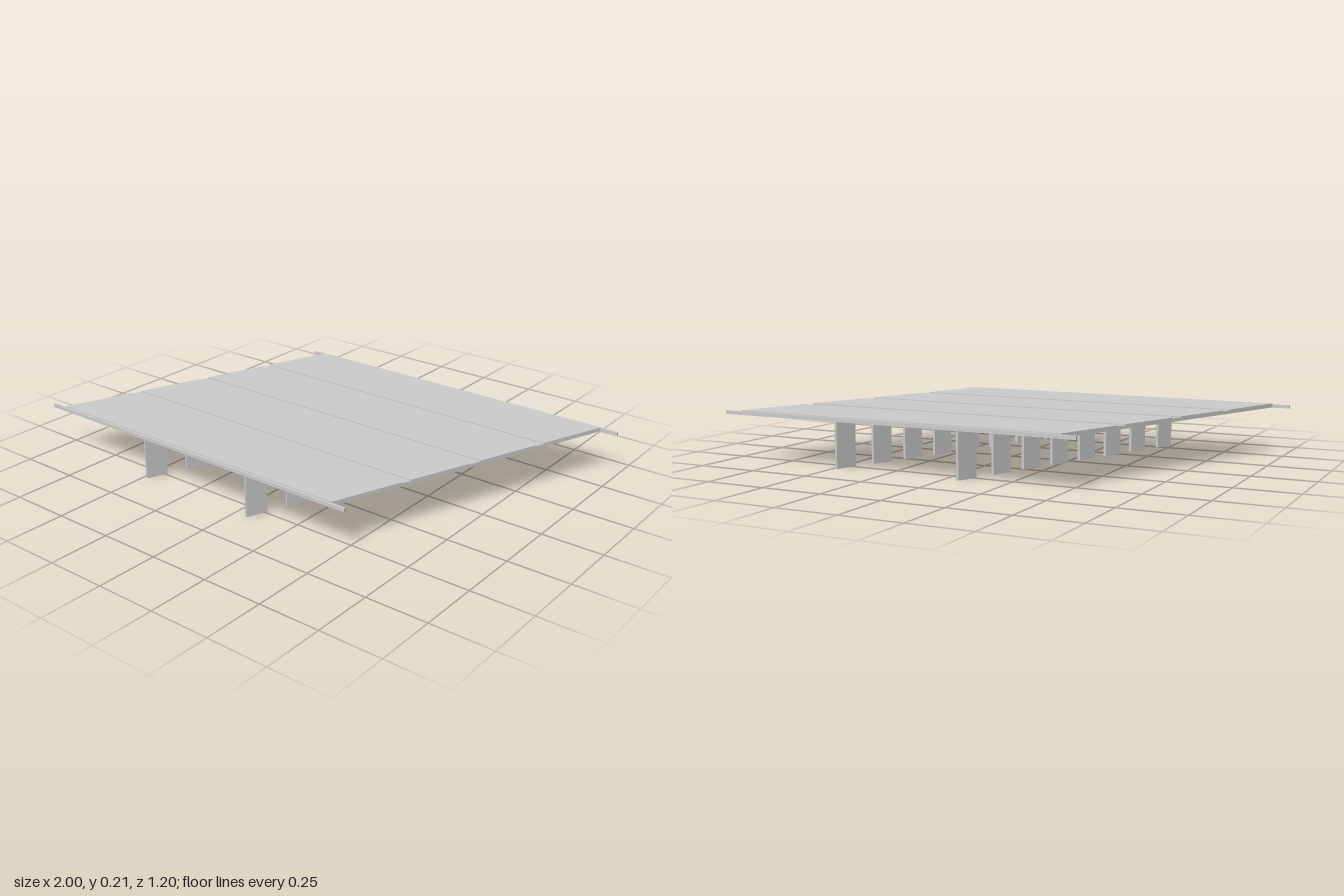
import * as THREE from 'three';

const SKEW = -0.379; // sideways shift per unit of z
const material = new THREE.MeshStandardMaterial({ color: 0xcccccc, flatShading: true });

export function createModel() {
  const model = new THREE.Group();

  function addBox(name, w, h, d, x, y, z) {
    const mesh = new THREE.Mesh(new THREE.BoxGeometry(w, h, d), material);
    mesh.name = name;
    mesh.position.set(x, y, z);
    model.add(mesh);
    return mesh;
  }

  // Slab sheared along x, spanning z0..z1 and y0..y1
  function addSkewSlab(name, z0, z1, y0, y1, width) {
    const mesh = addBox(name, width, y1 - y0, z1 - z0, 0, 0, 0);
    const geometry = mesh.geometry;
    geometry.translate(0, (y0 + y1) / 2, (z0 + z1) / 2);
    const p = geometry.attributes.position;
    for (let i = 0; i < p.count; i++) p.setX(i, p.getX(i) + SKEW * p.getZ(i));
    geometry.computeVertexNormals();
  }

  // Deck slab
  addSkewSlab('deck', -0.595, 0.595, 0.19, 0.203, 1.41);

  // Four raised strips separated by narrow joints
  for (const [near, far] of [[0.023, 0.275], [0.313, 0.59]]) {
    addSkewSlab('deckStrip', near, far, 0.202, 0.207, 1.41);
    addSkewSlab('deckStrip', -far, -near, 0.202, 0.207, 1.41);
  }

  // Edge beams that overhang the deck corners
  for (const s of [1, -1]) addBox('edgeBeam', 1.543, 0.014, 0.011, -s * 0.2285, 0.196, s * 0.5945);

  // Two skewed rows of blade piers
  for (const rowX of [-0.27, 0.27]) {
    for (const offset of [0.073, 0.218, 0.365, 0.528]) {
      for (const z of [offset, -offset]) {
        const pier = addBox('pier', 0.014, 0.191, 0.088, rowX + SKEW * z, 0.0955, z);
        pier.rotation.y = Math.atan(SKEW);
      }
    }
  }
  return model;
}
